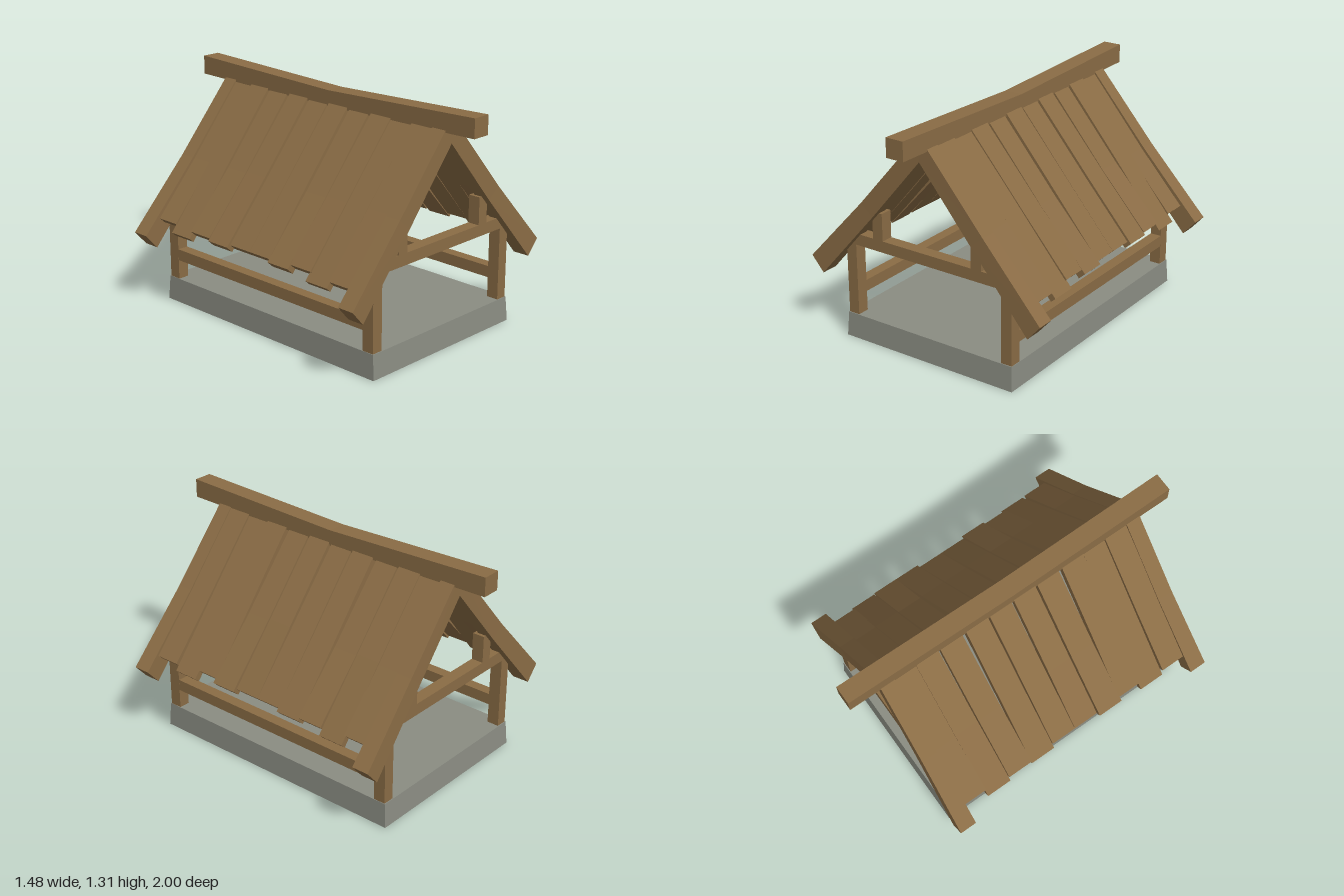
import * as THREE from 'three';

const wood = new THREE.MeshStandardMaterial({ color: 0x8a6c45, flatShading: true });
const stone = new THREE.MeshStandardMaterial({ color: 0x8a8c82, flatShading: true });

// Solid through a row of four-cornered sections; flip reverses the winding
function loft(sections, flip = false) {
  const pos = [];
  const quad = (a, b, c, d) => {
    const order = flip ? [a, c, b, a, d, c] : [a, b, c, a, c, d];
    order.forEach((p) => pos.push(...p));
  };
  for (let i = 0; i < sections.length - 1; i++) {
    const s = sections[i], e = sections[i + 1];
    for (let k = 0; k < 4; k++) {
      const n = (k + 1) % 4;
      quad(s[k], s[n], e[n], e[k]);
    }
  }
  const [a, b, c, d] = sections[0];
  quad(d, c, b, a);
  quad(...sections[sections.length - 1]);
  const geometry = new THREE.BufferGeometry();
  geometry.setAttribute('position', new THREE.Float32BufferAttribute(pos, 3));
  geometry.computeVertexNormals();
  return geometry;
}

// Sloping board: stations are [outerX, outerY, innerX, innerY, zMin, zMax]
function slopeBoard(stations, side) {
  const sections = stations.map(([ox, oy, ix, iy, z0, z1]) => [
    [side * ox, oy, z0], [side * ix, iy, z0], [side * ix, iy, z1], [side * ox, oy, z1],
  ]);
  return loft(sections, side > 0);
}

export function createModel() {
  const group = new THREE.Group();
  const add = (name, geometry, material = wood) => {
    const mesh = new THREE.Mesh(geometry, material);
    mesh.name = name;
    group.add(mesh);
    return mesh;
  };
  const box = (name, x0, x1, y0, y1, z0, z1) => {
    const mesh = add(name, new THREE.BoxGeometry(x1 - x0, y1 - y0, z1 - z0));
    mesh.position.set((x0 + x1) / 2, (y0 + y1) / 2, (z0 + z1) / 2);
  };

  // Tapered stone slab
  const level = (x, y, z) => [[-x, y, z], [x, y, z], [x, y, -z], [-x, y, -z]];
  add('foundation', loft([level(0.545, 0, 0.795), level(0.538, 0.138, 0.785)]), stone);

  // Sagging ridge beam
  const ridgeAt = (z, y0, y1) => [[-0.053, y0, z], [0.053, y0, z], [0.053, y1, z], [-0.053, y1, z]];
  add('ridgeBeam', loft([ridgeAt(-1, 1.2, 1.306), ridgeAt(0, 1.185, 1.274), ridgeAt(1, 1.2, 1.306)]));

  // End frames: posts, ties, struts and gable rafters
  for (const end of [-1, 1]) {
    const [z0, z1] = end > 0 ? [0.71, 0.78] : [-0.78, -0.71];
    box('tieBeam', -0.5, 0.5, 0.55, 0.615, z0, z1);
    for (const side of [-1, 1]) {
      const span = (a, b) => (side > 0 ? [a, b] : [-b, -a]);
      box('cornerPost', ...span(0.47, 0.535), 0.135, 0.55, z0, z1);
      box('roofStrut', ...span(0.285, 0.35), 0.61, 0.77, z0, z1);
      const near = [0.73, 0.73, 0.735], far = [0.815, 0.82, 0.833];
      const zs = near.map((n, i) => (end > 0 ? [n, far[i]] : [-far[i], -n]));
      add('gableRafter', slopeBoard([
        [0, 1.27, 0, 1.13, ...zs[0]],
        [0.39, 0.82, 0.315, 0.757, ...zs[1]],
        [0.74, 0.44, 0.665, 0.355, ...zs[2]],
      ], side));
    }
  }

  // Side rails between the posts
  for (const x of [-0.5025, 0.5025]) box('sideRail', x - 0.032, x + 0.032, 0.25, 0.315, -0.72, 0.72);

  // Roof planks, front to back: [z centre, eave x, eave y, thickness, skew]
  const planks = [
    [0.663, 0.655, 0.51, 0.045, 0.004],
    [0.515, 0.665, 0.475, 0.035, -0.004],
    [0.376, 0.64, 0.52, 0.045, -0.004],
    [0.226, 0.66, 0.5, 0.05, 0.003],
    [0.073, 0.64, 0.51, 0.045, 0],
    [-0.077, 0.64, 0.51, 0.045, 0],
    [-0.228, 0.66, 0.5, 0.05, -0.003],
    [-0.381, 0.655, 0.515, 0.045, 0.003],
    [-0.53, 0.665, 0.475, 0.035, 0.003],
    [-0.667, 0.64, 0.52, 0.045, -0.003],
  ];
  planks.forEach(([z, x, y, t, skew], i) => {
    const drop = i % 2 ? 0.012 : 0.003;
    const station = (px, py, shift, width) =>
      [px, py, px - 0.74 * t, py - 0.67 * t, z + shift - width / 2, z + shift + width / 2];
    for (const side of [-1, 1]) {
      add('roofPlank', slopeBoard([
        station(0.04, 1.222 - drop, -skew, 0.136),
        station(0.375, 0.828 - drop, 0, 0.141),
        station(x, y, skew, 0.149),
      ], side));
    }
  });

  return group;
}
